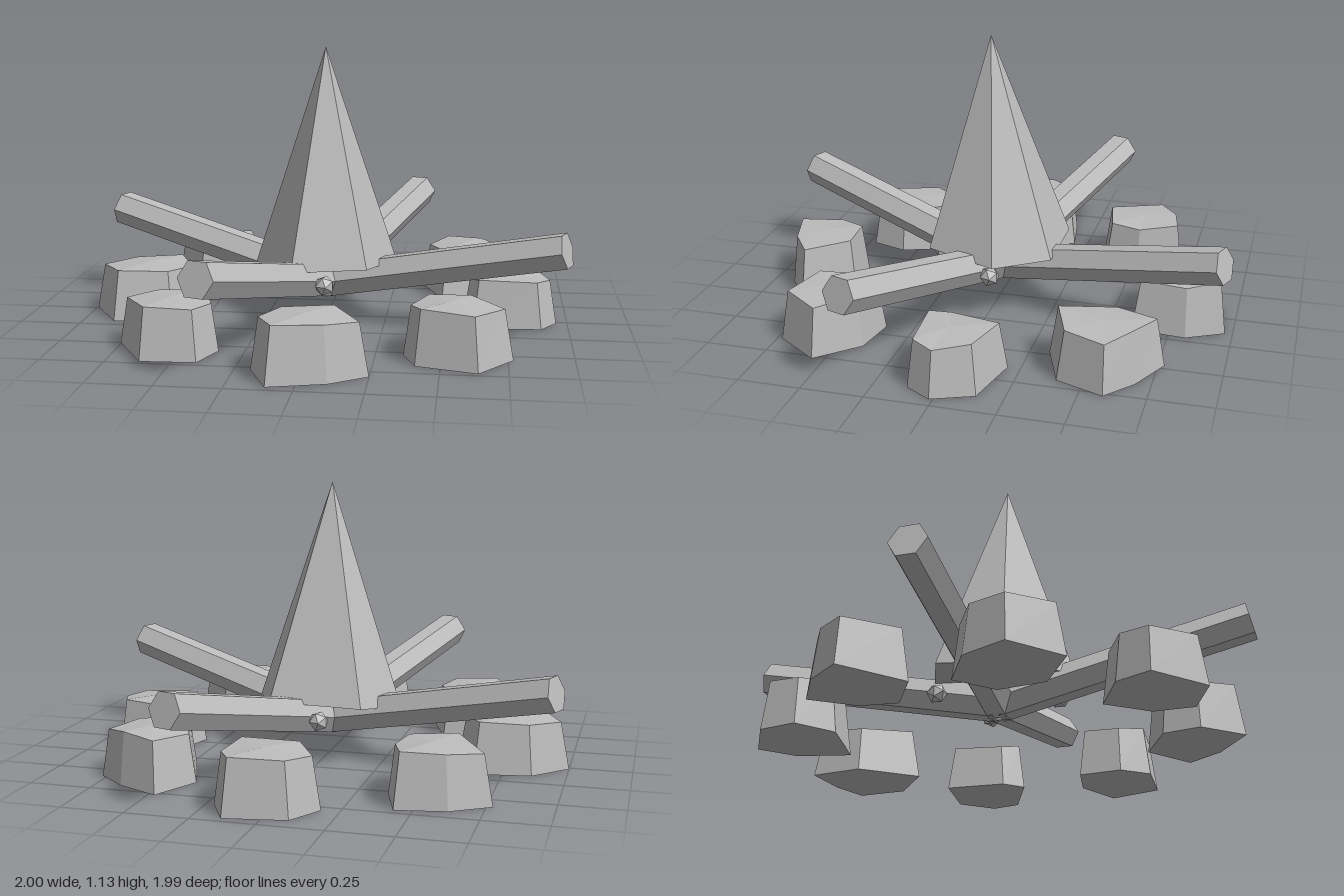
import * as THREE from 'three';

const gray = new THREE.MeshStandardMaterial({ color: 0xbcbcbc, flatShading: true });
gray.name = 'plain gray';

// Push a triangle fan from a point to a closed ring
function fan(out, c, ring, flip) {
  ring.forEach((a, i) => {
    const b = ring[(i + 1) % ring.length];
    out.push(...c, ...(flip ? b : a), ...(flip ? a : b));
  });
}

function toGeometry(out) {
  const g = new THREE.BufferGeometry();
  g.setAttribute('position', new THREE.Float32BufferAttribute(out, 3));
  g.computeVertexNormals();
  return g;
}

// Stone: irregular footprint, narrower top with a slightly raised centre
function stoneGeometry(foot, h) {
  const n = foot.length;
  const cx = foot.reduce((s, p) => s + p[0], 0) / n;
  const cz = foot.reduce((s, p) => s + p[1], 0) / n;
  const low = foot.map(([x, z]) => [x, 0, z]);
  const top = foot.map(([x, z], i) =>
    [cx + (x - cx) * 0.85, h + (i % 3 - 1) * 0.008, cz + (z - cz) * 0.85]);
  const out = [];
  fan(out, [cx, 0, cz], low, false);
  fan(out, [cx, h + 0.012, cz], top, true);
  low.forEach((a, i) => {
    const j = (i + 1) % n;
    out.push(...low[j], ...a, ...top[i], ...low[j], ...top[i], ...top[j]);
  });
  return toGeometry(out);
}

export function createModel() {
  const model = new THREE.Group();
  const add = (name, geometry, parent = model) => {
    const m = new THREE.Mesh(geometry, gray);
    m.name = name;
    parent.add(m);
    return m;
  };

  // Flame: uneven six-sided spike
  const rim = [[-0.195, 0.25, -0.255], [0.185, 0.26, -0.26], [0.29, 0.24, -0.04],
    [0.19, 0.26, 0.255], [-0.11, 0.25, 0.3], [-0.305, 0.21, 0]];
  const flame = [];
  fan(flame, [0, 0.25, 0], rim, false);
  fan(flame, [0, 1.135, 0.04], rim, true);
  add('flame', toGeometry(flame));

  // Four hexagonal logs leaning out from the middle, with an ember between each pair
  const start = new THREE.Vector3(0, 0.155, 0);
  const end = new THREE.Vector3(1.03, 0.38, 0);
  const length = start.distanceTo(end);
  const logGeometry = new THREE.CylinderGeometry(0.075, 0.075, length, 6);
  logGeometry.translate(0, length / 2, 0);
  const emberGeometry = new THREE.IcosahedronGeometry(0.042, 0);
  for (let i = 0; i < 4; i++) {
    const turn = new THREE.Group();
    turn.name = 'logAndEmber' + (i + 1);
    turn.rotation.y = i * Math.PI / 2 - 0.342;
    const log = add('log', logGeometry, turn);
    log.position.copy(start);
    log.rotation.z = -Math.atan2(end.x, end.y - start.y);
    const ember = add('ember', emberGeometry, turn);
    ember.position.set(0.25 * Math.cos(0.42), 0.19, -0.25 * Math.sin(0.42));
    model.add(turn);
  }

  // Ring of eight stones: footprint corners as x, z and height
  const stones = [
    [0.21, [[-0.18, -0.79], [-0.1, -0.93], [0.14, -0.97], [0.22, -0.82], [0.2, -0.6], [-0.08, -0.64]]],
    [0.2, [[0.38, -0.58], [0.475, -0.775], [0.65, -0.69], [0.77, -0.59], [0.695, -0.4], [0.475, -0.325]]],
    [0.19, [[0.57, 0.04], [0.64, -0.2], [0.89, -0.145], [0.955, 0.015], [0.89, 0.12], [0.615, 0.135]]],
    [0.205, [[0.355, 0.53], [0.43, 0.365], [0.62, 0.395], [0.77, 0.55], [0.64, 0.73], [0.405, 0.665]]],
    [0.21, [[-0.19, 0.775], [-0.11, 0.64], [0.12, 0.615], [0.25, 0.81], [0.11, 0.91], [-0.105, 0.97]]],
    [0.195, [[-0.755, 0.5], [-0.645, 0.39], [-0.42, 0.37], [-0.35, 0.565], [-0.405, 0.72], [-0.62, 0.73]]],
    [0.2, [[-1, -0.015], [-0.865, -0.155], [-0.64, -0.19], [-0.55, -0.025], [-0.635, 0.15], [-0.87, 0.2]]],
    [0.205, [[-0.775, -0.59], [-0.625, -0.685], [-0.43, -0.72], [-0.37, -0.53], [-0.405, -0.38], [-0.62, -0.34]]],
  ];
  stones.forEach(([h, foot], i) => add('stone' + (i + 1), stoneGeometry(foot, h)));

  return model;
}
